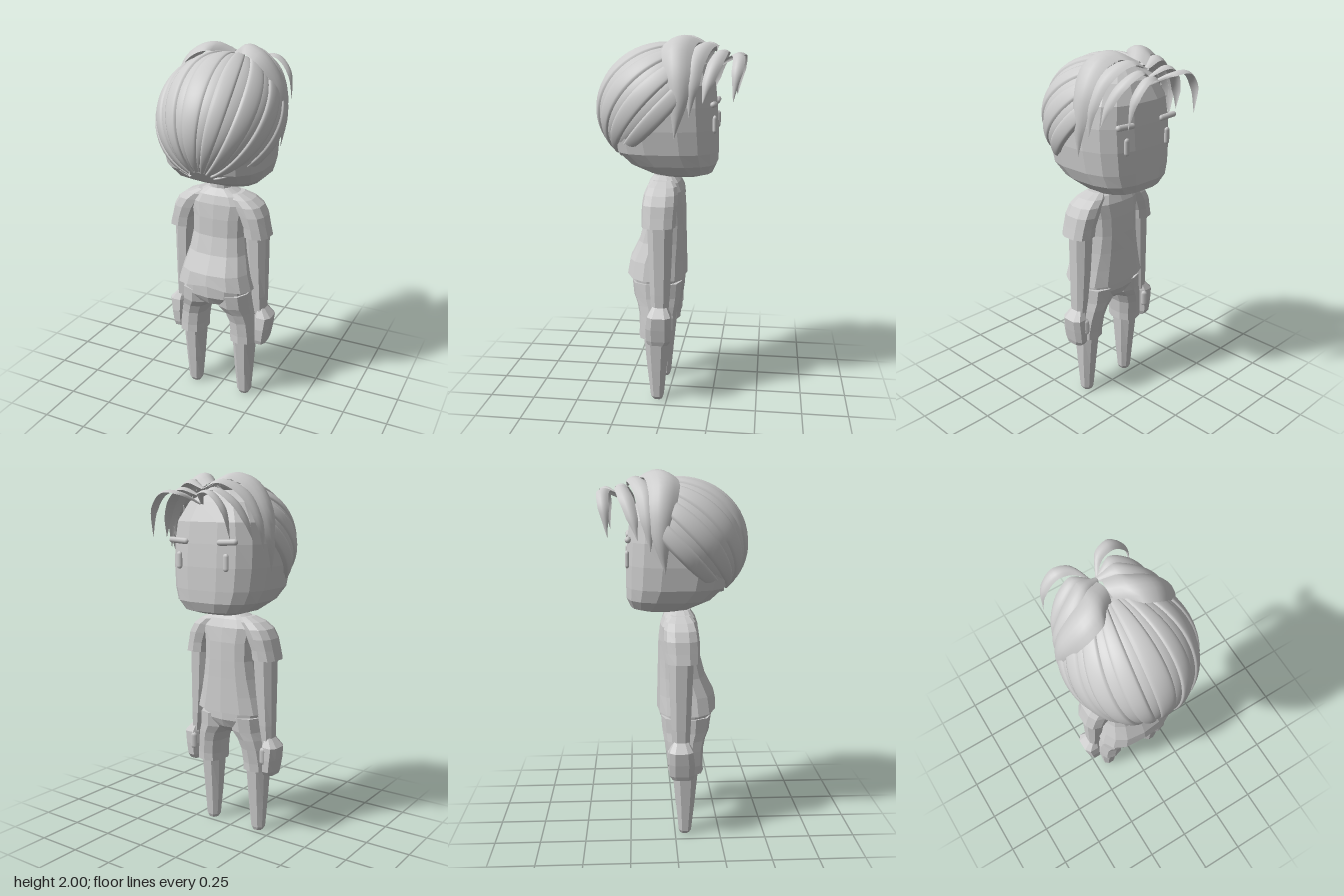
import * as THREE from 'three';

const V = (x, y, z) => new THREE.Vector3(x, y, z);

// Grid of points (rows x cols) to an indexed surface
function gridGeometry(rows, cols, pointAt) {
  const pos = [], idx = [];
  for (let j = 0; j <= rows; j++) {
    for (let i = 0; i <= cols; i++) pos.push(...pointAt(i / cols, j / rows).toArray());
  }
  for (let j = 0; j < rows; j++) {
    for (let i = 0; i < cols; i++) {
      const a = j * (cols + 1) + i, b = a + cols + 1;
      idx.push(a, b, b + 1, a, b + 1, a + 1);
    }
  }
  const g = new THREE.BufferGeometry();
  g.setAttribute('position', new THREE.Float32BufferAttribute(pos, 3));
  g.setIndex(idx);
  g.computeVertexNormals();
  return g;
}

// Flat shaded loft; rings go upwards: [y, xMin, xMax, zMin, zMax]; power < 1 squares the section
function loft(rings, sides, power = 1) {
  const pos = [], idx = [];
  const bend = (v) => Math.sign(v) * Math.pow(Math.abs(v), power);
  for (const [y, x0, x1, z0, z1] of rings) {
    for (let i = 0; i < sides; i++) {
      const a = ((i + 0.5) / sides) * Math.PI * 2;
      pos.push((x0 + x1) / 2 + (x1 - x0) / 2 * bend(Math.cos(a)), y,
        (z0 + z1) / 2 + (z1 - z0) / 2 * bend(Math.sin(a)));
    }
  }
  const top = rings.length - 1;
  for (const r of [rings[0], rings[top]]) pos.push((r[1] + r[2]) / 2, r[0], (r[3] + r[4]) / 2);
  const c0 = rings.length * sides;
  for (let i = 0; i < sides; i++) {
    const n = (i + 1) % sides;
    for (let j = 0; j < top; j++) {
      const a = j * sides, b = a + sides;
      idx.push(a + i, b + i, b + n, a + i, b + n, a + n);
    }
    idx.push(c0, i, n, c0 + 1, top * sides + n, top * sides + i);
  }
  const g = new THREE.BufferGeometry();
  g.setAttribute('position', new THREE.Float32BufferAttribute(pos, 3));
  g.setIndex(idx);
  const flat = g.toNonIndexed();
  flat.computeVertexNormals();
  return flat;
}

// Mirror rings to the other side of the body
const sided = (rings, s) => rings.map(([y, a, b, c, d]) => (s > 0 ? [y, a, b, c, d] : [y, -b, -a, c, d]));

// Curved ribbon of hair, wide along z and bowed outwards
function ribbon(points, widths, s) {
  const curve = new THREE.CatmullRomCurve3(points.map(([x, y, z]) => V(x * s, y, z)));
  const centre = V(0, 1.62, -0.1), across = V(0, 0, 1);
  return gridGeometry(20, 6, (u, v) => {
    const p = curve.getPoint(v);
    const k = v * (widths.length - 1), i = Math.min(Math.floor(k), widths.length - 2);
    const w = THREE.MathUtils.lerp(widths[i], widths[i + 1], k - i);
    const n = curve.getTangent(v).cross(across).normalize();
    if (n.dot(p.clone().sub(centre)) < 0) n.negate();
    const e = u * 2 - 1;
    return p.addScaledVector(across, e * w / 2).addScaledVector(n, -e * e * w * 0.22);
  });
}

// One lock of the swept hair: a strip from nape to forehead with its edges turned in
function sweptLock(phi0, phi1, size) {
  const axis = V(0, -0.758, 0.652), up = V(0, 0.652, 0.758);
  return gridGeometry(24, 10, (u, v) => {
    const phi = THREE.MathUtils.degToRad(THREE.MathUtils.lerp(phi0, phi1, u));
    const end = 155 - 38 * Math.min(1, Math.abs(phi) / 1.6) ** 3;
    const t = THREE.MathUtils.degToRad(THREE.MathUtils.lerp(12, end, v));
    const e = u * 2 - 1;
    const r = size - 0.012 * e * e - 0.045 * e ** 10;
    const d = axis.clone().multiplyScalar(Math.cos(t))
      .addScaledVector(up, Math.sin(t) * Math.cos(phi));
    d.x = Math.sin(t) * Math.sin(phi);
    return V(d.x * 0.335 * r, 1.625 + d.y * 0.342 * r, 0.02 + d.z * 0.378 * r);
  });
}

export function createModel() {
  const model = new THREE.Group();
  const grey = new THREE.MeshStandardMaterial({ color: 0xcccccc, side: THREE.DoubleSide });
  grey.name = 'plain grey';
  const add = (name, geometry) => {
    const m = new THREE.Mesh(geometry, grey);
    m.name = name;
    model.add(m);
    return m;
  };

  // Head with a flattened face on the -z side and a jaw rising towards the nape
  add('head', loft([
    [1.265, -0.12, 0.12, -0.17, 0.03], [1.285, -0.19, 0.19, -0.235, 0.1],
    [1.335, -0.245, 0.245, -0.258, 0.21], [1.4, -0.272, 0.272, -0.26, 0.28],
    [1.52, -0.285, 0.285, -0.258, 0.31], [1.64, -0.285, 0.285, -0.25, 0.31],
    [1.75, -0.265, 0.265, -0.238, 0.27], [1.85, -0.2, 0.2, -0.19, 0.2], [1.91, -0.1, 0.1, -0.12, 0.12],
  ], 16, 0.68));
  add('neck', loft([[1.2, -0.065, 0.065, -0.03, 0.09], [1.3, -0.06, 0.06, -0.03, 0.085]], 10));

  // Shirt, its hem rising in the middle of the back
  const shirt = loft([
    [0.705, -0.225, 0.225, -0.095, 0.235], [0.8, -0.198, 0.198, -0.093, 0.222],
    [0.9, -0.172, 0.172, -0.09, 0.172], [1.0, -0.156, 0.156, -0.088, 0.145],
    [1.1, -0.158, 0.158, -0.085, 0.14], [1.18, -0.175, 0.175, -0.075, 0.13],
    [1.225, -0.14, 0.14, -0.055, 0.115], [1.26, -0.065, 0.065, -0.025, 0.09],
  ], 14, 0.75);
  const sp = shirt.attributes.position;
  for (let i = 0; i < sp.count; i++) {
    if (sp.getY(i) < 0.71 && sp.getZ(i) > 0) sp.setY(i, 0.74 - 0.035 * Math.abs(sp.getX(i)) / 0.225);
  }
  shirt.computeVertexNormals();
  add('shirt', shirt);

  // Hips of the shorts, narrowing to the crotch
  add('hips', loft([
    [0.58, -0.04, 0.04, -0.02, 0.13], [0.615, -0.11, 0.11, -0.06, 0.19],
    [0.66, -0.19, 0.19, -0.08, 0.213], [0.74, -0.2, 0.2, -0.08, 0.215],
  ], 14, 0.85));

  for (const s of [1, -1]) {
    const side = s > 0 ? 'left' : 'right';
    add(side + 'ShortsLeg', loft(sided([
      [0.375, 0.08, 0.238, -0.038, 0.155], [0.42, 0.08, 0.235, -0.04, 0.153],
      [0.5, 0.072, 0.225, -0.05, 0.155], [0.555, 0.05, 0.215, -0.06, 0.168],
      [0.6, 0.01, 0.207, -0.068, 0.19], [0.68, 0.0, 0.2, -0.075, 0.2],
    ], s), 10, 0.85));
    add(side + 'Leg', loft(sided([
      [0, 0.13, 0.185, 0.027, 0.08], [0.02, 0.118, 0.198, 0.018, 0.092],
      [0.18, 0.104, 0.209, 0.002, 0.11], [0.4, 0.09, 0.222, -0.022, 0.132],
    ], s), 8, 0.85));
    add(side + 'Sleeve', loft(sided([
      [1.015, 0.15, 0.297, -0.055, 0.128], [1.07, 0.145, 0.283, -0.057, 0.128],
      [1.13, 0.12, 0.27, -0.062, 0.128], [1.18, 0.09, 0.243, -0.06, 0.122],
      [1.215, 0.06, 0.195, -0.05, 0.11], [1.24, 0.05, 0.13, -0.025, 0.085],
    ], s), 10, 0.8));
    add(side + 'Arm', loft(sided([
      [0.54, 0.21, 0.275, -0.02, 0.075], [0.65, 0.19, 0.277, -0.028, 0.082],
      [0.82, 0.168, 0.278, -0.035, 0.09], [1.06, 0.15, 0.278, -0.043, 0.1],
    ], s), 8, 0.85));
    add(side + 'Hand', loft(sided([
      [0.365, 0.222, 0.287, -0.02, 0.095], [0.39, 0.22, 0.295, -0.038, 0.103],
      [0.46, 0.218, 0.308, -0.042, 0.105], [0.53, 0.217, 0.318, -0.04, 0.095],
      [0.585, 0.225, 0.268, -0.01, 0.065],
    ], s), 8, 0.7));
    const thumb = add(side + 'Thumb', new THREE.CapsuleGeometry(0.02, 0.06, 2, 6));
    thumb.position.set(s * 0.24, 0.48, -0.028);

    // Face details
    const eye = add(side + 'Eye', new THREE.CapsuleGeometry(0.016, 0.06, 4, 10));
    eye.scale.z = 0.7;
    eye.position.set(s * 0.15, 1.55, -0.249);
    const brow = add(side + 'Brow', new THREE.CapsuleGeometry(0.016, 0.095, 3, 8));
    brow.position.set(s * 0.155, 1.652, -0.243);
    brow.rotation.z = Math.PI / 2 + s * 0.05;

    // Fringe, parted in the middle
    add(side + 'SideFringe', ribbon([[0, 1.95, -0.15], [0.1, 2.0, -0.085], [0.21, 1.955, -0.06],
      [0.3, 1.82, -0.07], [0.325, 1.66, -0.075], [0.3, 1.49, -0.055]], [0.14, 0.17, 0.165, 0.14, 0.09, 0], s));
    add(side + 'TempleFringe', ribbon([[0, 1.92, -0.23], [0.1, 1.965, -0.2], [0.22, 1.9, -0.155],
      [0.295, 1.76, -0.14], [0.3, 1.6, -0.13]], [0.03, 0.1, 0.11, 0.08, 0], s));
    add(side + 'BrowFringe', ribbon([[0, 1.88, -0.25], [0.1, 1.925, -0.275], [0.2, 1.87, -0.25],
      [0.26, 1.77, -0.22], [0.28, 1.66, -0.195]], [0.02, 0.07, 0.08, 0.06, 0], s));
    add(side + 'FrontCurl', ribbon([[0, 1.84, -0.25], [0.06, 1.9, -0.34], [0.15, 1.905, -0.367],
      [0.228, 1.82, -0.362], [0.245, 1.67, -0.345]], [0.02, 0.06, 0.065, 0.058, 0], s));
  }

  // Swept hair: alternating wide raised locks and narrow sunken ones
  add('centreLock', sweptLock(-11, 11, 1.0));
  const edges = [10, 16, 31, 39, 56, 62, 78, 84, 97];
  for (const s of [1, -1]) {
    for (let i = 0; i < edges.length - 1; i++) {
      const wide = i % 2 === 1;
      const a = (edges[i] - (wide ? 1 : 4)) * s, b = (edges[i + 1] + (wide ? 1 : 4)) * s;
      add('sweptLock', sweptLock(Math.min(a, b), Math.max(a, b), wide ? 1.012 : 0.985));
    }
  }
  return model;
}
